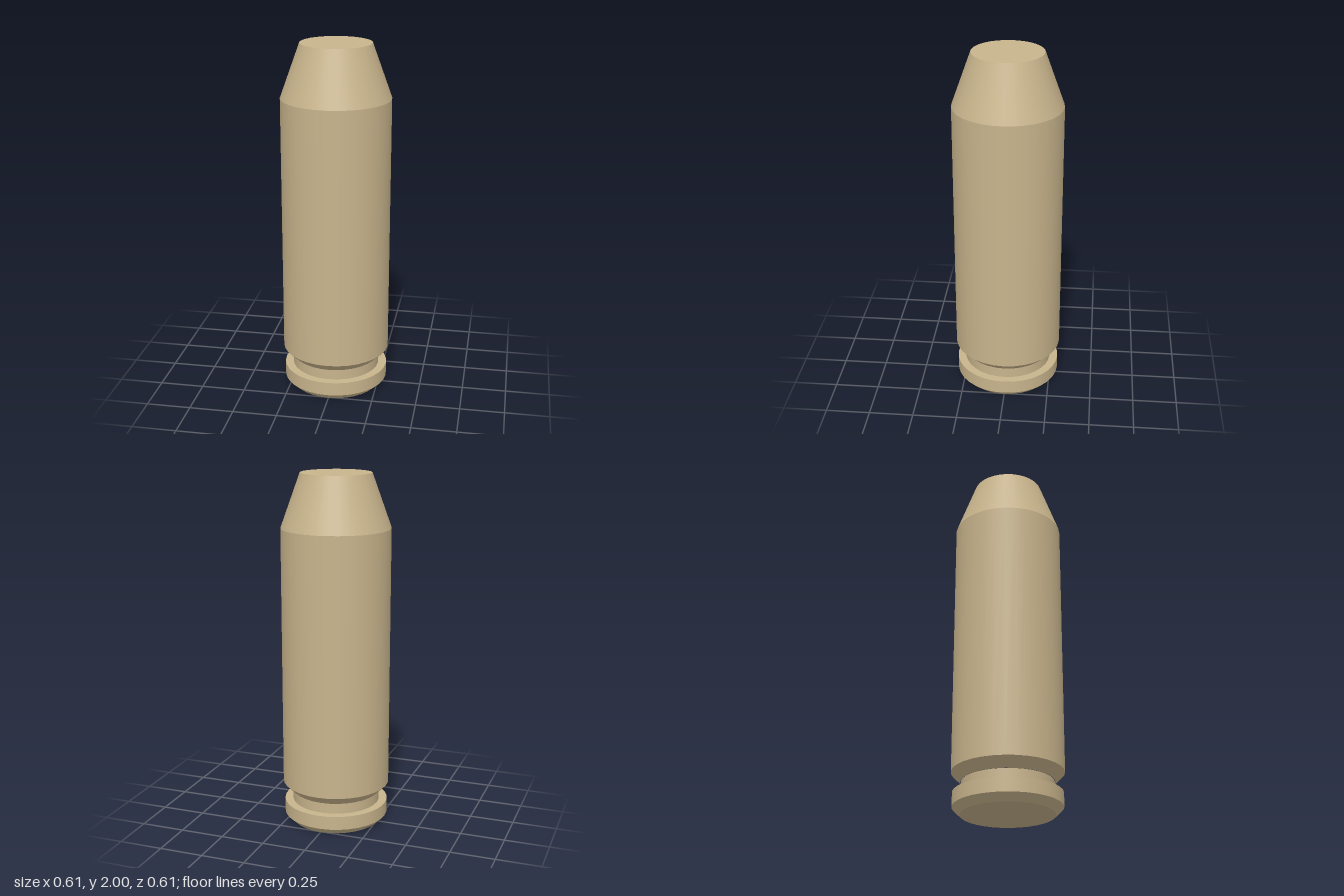
import * as THREE from 'three';

export function createModel() {
  const group = new THREE.Group();
  group.name = 'cartridge';
  const tan = new THREE.MeshStandardMaterial({ color: 0xc8b48c });
  tan.name = 'tan';
  const SIDES = 32;

  // Round section from height y0 (radius r0) up to y1 (radius r1)
  function section(name, y0, r0, y1, r1) {
    const mesh = new THREE.Mesh(new THREE.CylinderGeometry(r1, r0, y1 - y0, SIDES, 1, true), tan);
    mesh.position.y = (y0 + y1) / 2;
    mesh.name = name;
    group.add(mesh);
  }

  // Flat ring or disc; up = 1 faces upward, -1 downward
  function flat(name, y, inner, outer, up) {
    const geo = inner > 0
      ? new THREE.RingGeometry(inner, outer, SIDES)
      : new THREE.CircleGeometry(outer, SIDES);
    geo.rotateX(-up * Math.PI / 2);
    const mesh = new THREE.Mesh(geo, tan);
    mesh.position.y = y;
    mesh.name = name;
    group.add(mesh);
  }

  // Base rim
  flat('baseFace', 0, 0, 0.255, -1);
  section('rimBevel', 0, 0.255, 0.04, 0.297);
  section('rim', 0.04, 0.297, 0.118, 0.297);
  flat('rimLedge', 0.118, 0.25, 0.297, 1);

  // Extractor groove and the bevel above it
  section('groove', 0.118, 0.25, 0.178, 0.25);
  section('grooveBevel', 0.178, 0.252, 0.23, 0.305);

  // Case body and tapered nose
  section('body', 0.23, 0.305, 1.7, 0.305);
  section('nose', 1.7, 0.305, 2, 0.197);

  // Flat tip
  flat('tipRing', 2, 0.166, 0.197, 1);
  flat('tipDisc', 2, 0, 0.166, 1);

  return group;
}
